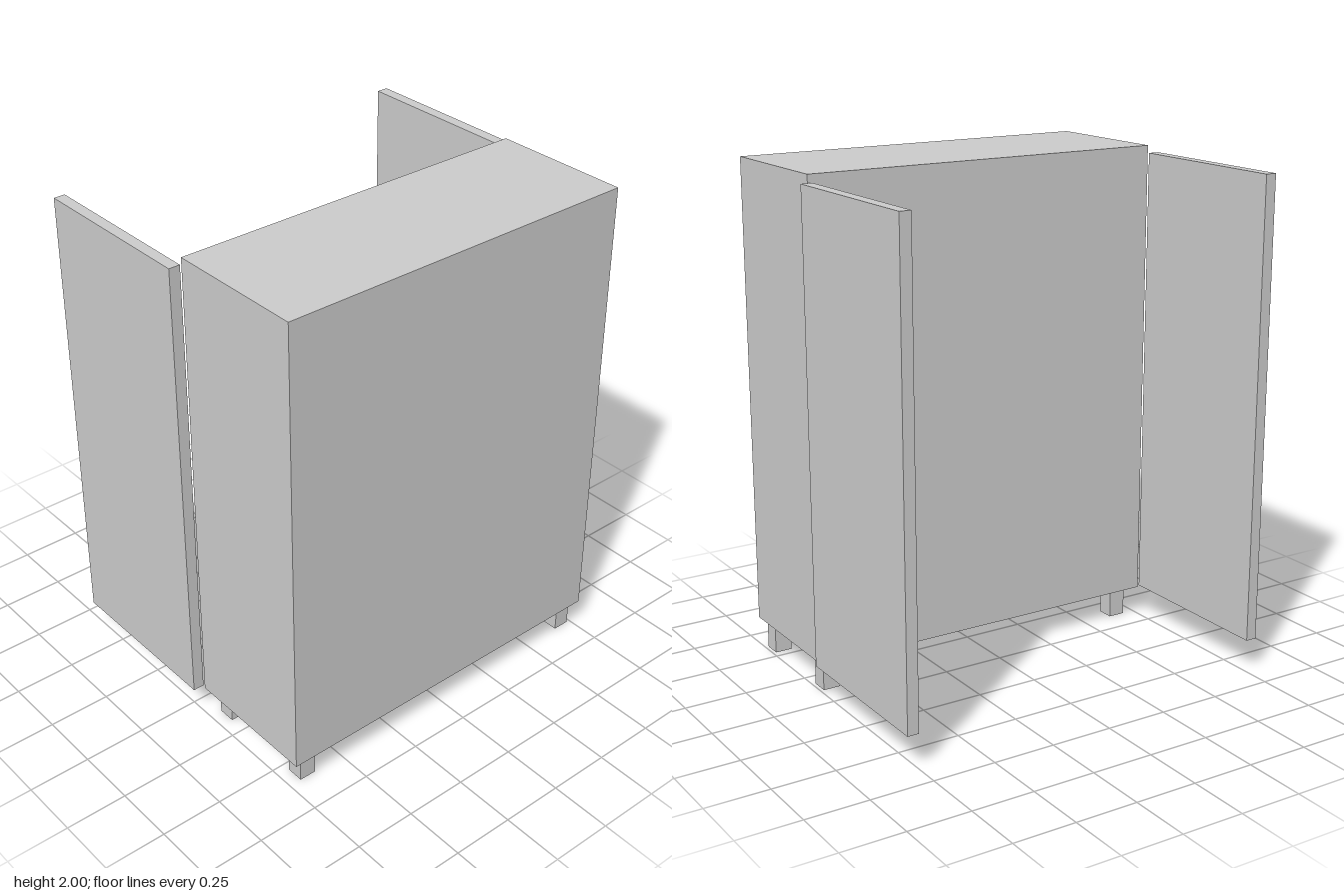
import * as THREE from 'three';

// Wardrobe with both doors swung open at right angles
export function createModel() {
  const group = new THREE.Group();
  const material = new THREE.MeshStandardMaterial({ color: 0xcccccc });

  // Box given by its extents along each axis
  const addBox = (name, [x0, x1], [y0, y1], [z0, z1]) => {
    const mesh = new THREE.Mesh(new THREE.BoxGeometry(x1 - x0, y1 - y0, z1 - z0), material);
    mesh.name = name;
    mesh.position.set((x0 + x1) / 2, (y0 + y1) / 2, (z0 + z1) / 2);
    group.add(mesh);
  };

  // Cabinet body
  addBox('cabinetBody', [-0.747, 0.757], [0.122, 2], [0.075, 0.641]);

  // Open doors, hung just behind the body
  addBox('rightDoor', [-0.793, -0.748], [0.132, 1.97], [-0.636, 0.068]);
  addBox('leftDoor', [0.744, 0.79], [0.132, 1.97], [-0.641, 0.062]);

  // Four square feet
  const half = 0.035;
  for (const [side, x] of [['right', -0.664], ['left', 0.701]]) {
    for (const [end, z] of [['Front', 0.57], ['Back', 0.145]]) {
      addBox(`${side}${end}Foot`, [x - half, x + half], [0, 0.122], [z - half, z + half]);
    }
  }

  return group;
}
